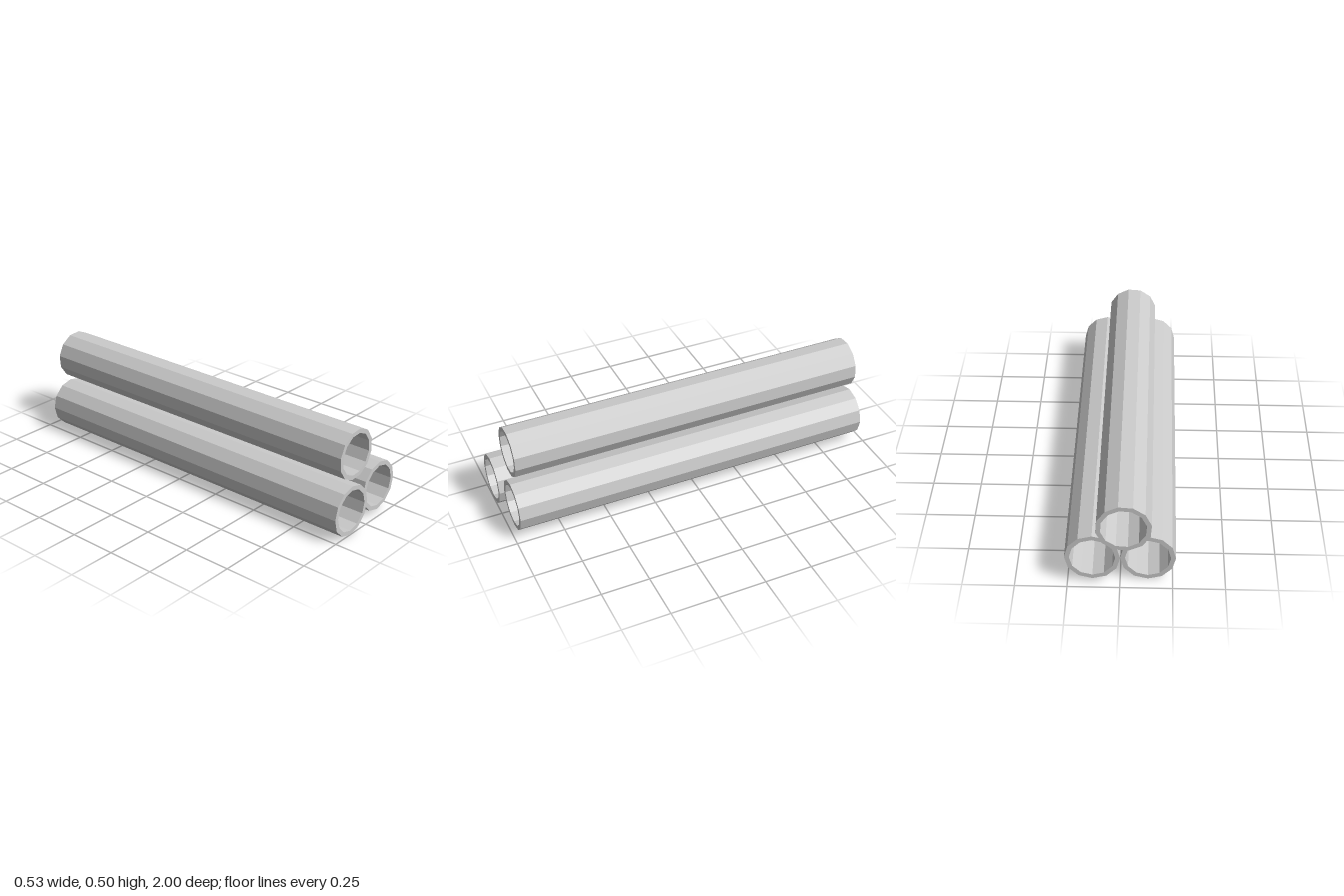
import * as THREE from 'three';

const SIDES = 12, OUTER = 0.132, INNER = 0.109, LENGTH = 1.935;

// Corners of a regular polygon, first corner on +x
function ring(radius) {
  return Array.from({ length: SIDES }, (_, i) => {
    const a = (i / SIDES) * Math.PI * 2;
    return new THREE.Vector2(Math.cos(a) * radius, Math.sin(a) * radius);
  });
}

export function createModel() {
  const model = new THREE.Group();
  model.name = 'pipeStack';
  const material = new THREE.MeshStandardMaterial({ color: 0xcccccc, flatShading: true });

  // Hollow faceted pipe, open at both ends
  const section = new THREE.Shape(ring(OUTER));
  section.holes.push(new THREE.Path(ring(INNER)));
  const pipe = new THREE.ExtrudeGeometry(section, { depth: LENGTH, bevelEnabled: false });

  // Two pipes side by side, one rolled slightly and resting on top: name, x, y, back z, roll
  const pipes = [
    ['rightPipe', -0.132, 0.133, -0.935, 0],
    ['leftPipe', 0.131, 0.153, -0.96, 0],
    ['topPipe', -0.018, 0.368, -1, -10.7],
  ];
  for (const [name, x, y, z, roll] of pipes) {
    const mesh = new THREE.Mesh(pipe, material);
    mesh.name = name;
    mesh.position.set(x, y, z);
    mesh.rotation.z = THREE.MathUtils.degToRad(roll);
    model.add(mesh);
  }
  return model;
}
